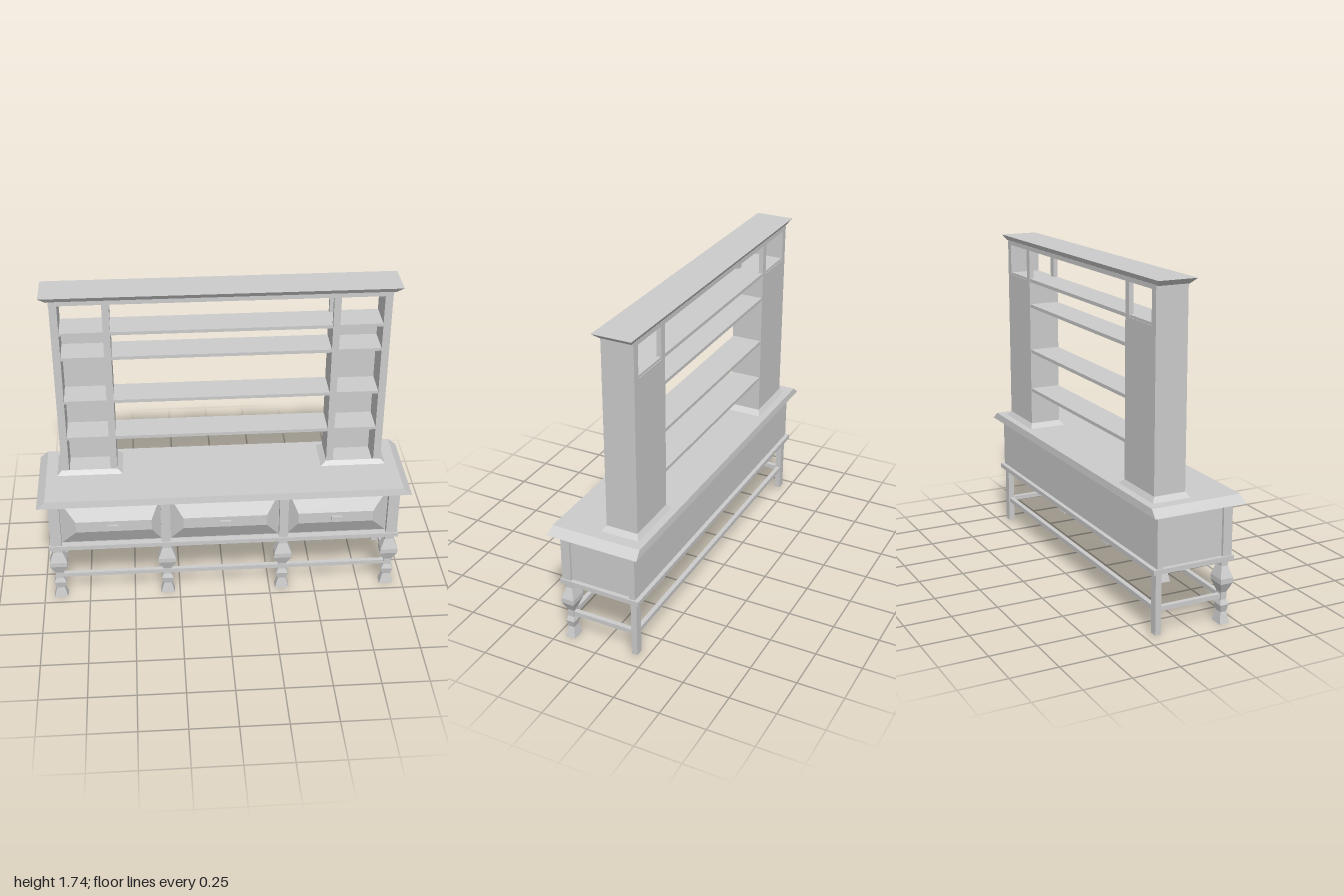
import * as THREE from 'three';

const material = new THREE.MeshStandardMaterial({ color: 0xcccccc, flatShading: true });
const openMaterial = new THREE.MeshStandardMaterial({ color: 0xcccccc, flatShading: true, side: THREE.DoubleSide });

export function createModel() {
  const model = new THREE.Group();

  function add(name, geometry, parent = model, mat = material) {
    const mesh = new THREE.Mesh(geometry, mat);
    mesh.name = name;
    parent.add(mesh);
    return mesh;
  }

  // Box given by its limits on each axis
  function box(name, x0, x1, y0, y1, z0, z1, parent) {
    const mesh = add(name, new THREE.BoxGeometry(x1 - x0, y1 - y0, z1 - z0), parent);
    mesh.position.set((x0 + x1) / 2, (y0 + y1) / 2, (z0 + z1) / 2);
    return mesh;
  }

  // Block of unit height whose bottom and top rectangles [x0, x1, z0, z1] differ
  function tapered(bottom, top, y0, y1) {
    const g = new THREE.BoxGeometry(1, 1, 1);
    const p = g.attributes.position;
    for (let i = 0; i < p.count; i++) {
      const up = p.getY(i) > 0;
      const r = up ? top : bottom;
      p.setXYZ(i, p.getX(i) < 0 ? r[0] : r[1], up ? y1 : y0, p.getZ(i) < 0 ? r[2] : r[3]);
    }
    g.computeVertexNormals();
    return g;
  }

  // Counter and cabinet body
  add('counterTop', tapered([-1, 1, -0.25, 0.25], [-0.955, 0.955, -0.245, 0.243], 0.637, 0.675));
  box('cabinetCore', -0.93, 0.93, 0.35, 0.64, -0.19, 0.18);
  box('cabinetBack', -0.945, 0.945, 0.36, 0.64, -0.207, -0.175);
  box('cabinetBase', -0.953, 0.953, 0.335, 0.36, -0.23, 0.218);
  for (const s of [-1, 1]) {
    const outer = [0.885 * s, 0.945 * s].sort((a, b) => a - b);
    box('cornerPost', ...outer, 0.36, 0.64, 0.16, 0.21);
    box('drawerDivider', 0.32 * s - 0.024, 0.32 * s + 0.024, 0.36, 0.64, 0.16, 0.21);
  }

  // Drawers: outer edges, raised field and handle centre along x
  const drawers = [
    [-0.885, -0.344, -0.8, -0.395],
    [-0.296, 0.296, -0.225, 0.225],
    [0.344, 0.885, 0.395, 0.8],
  ];
  drawers.forEach(([x0, x1, a, b], i) => {
    const drawer = new THREE.Group();
    drawer.name = 'drawer';
    // Built lying down, then turned to face forward
    const front = tapered([x0, x1, -0.64, -0.36], [a, b, -0.53, -0.465], 0.178, 0.234);
    front.rotateX(Math.PI / 2);
    front.scale(1, -1, 1);
    // Mirroring turns the faces over, so swap the corner order back
    const index = front.index.array;
    for (let k = 0; k < index.length; k += 3) [index[k], index[k + 1]] = [index[k + 1], index[k]];
    // Keep the field upright between the top and bottom edges
    const p = front.attributes.position;
    for (let k = 0; k < p.count; k++) p.setY(k, Math.abs(p.getY(k)));
    front.computeVertexNormals();
    add('drawerFront', front, drawer, openMaterial);
    const hx = (i - 1) * 0.602;
    box('drawerHandle', hx - 0.03, hx + 0.03, 0.485, 0.508, 0.225, 0.247, drawer);
    model.add(drawer);
  });

  // Square turned front legs, narrower from front to back
  const profile = [
    [0, 0], [0.038, 0], [0.022, 0.06], [0.033, 0.1], [0.022, 0.125],
    [0.022, 0.165], [0.048, 0.218], [0.048, 0.245], [0.025, 0.305], [0.025, 0.336], [0, 0.336],
  ].map(([r, y]) => new THREE.Vector2(r * Math.SQRT2, y));
  for (const x of [-0.91, -0.317, 0.32, 0.91]) {
    const leg = add('frontLeg', new THREE.LatheGeometry(profile, 4, Math.PI / 4));
    leg.scale.z = 0.72;
    leg.position.set(x, 0, 0.178);
  }

  // Back legs and stretchers
  for (const s of [-1, 1]) {
    box('backLeg', 0.91 * s - 0.022, 0.91 * s + 0.022, 0.013, 0.336, -0.207, -0.175);
    box('sideStretcher', 0.91 * s - 0.013, 0.91 * s + 0.013, 0.13, 0.154, -0.18, 0.178);
  }
  box('frontStretcher', -0.91, 0.91, 0.13, 0.154, 0.166, 0.19);
  box('backStretcher', -0.91, 0.91, 0.13, 0.154, -0.203, -0.179);

  // Two shelf towers
  const zBack = -0.187, zFront = -0.016;
  const shelfTops = [0.906, 1.131, 1.39, 1.533];
  for (const s of [-1, 1]) {
    const tower = new THREE.Group();
    tower.name = 'tower';
    model.add(tower);
    const part = (name, a, b, ...rest) => box(name, Math.min(a * s, b * s), Math.max(a * s, b * s), ...rest, tower);
    part('outerSide', 0.83, 0.87, 0.675, 1.69, zBack, zFront);
    part('innerSide', 0.57, 0.607, 0.675, 1.533, zBack, zFront);
    part('upperFrontPost', 0.57, 0.607, 1.533, 1.69, zFront - 0.025, zFront);
    part('upperBackPost', 0.57, 0.607, 1.533, 1.69, zBack, zBack + 0.025);
    part('towerBack', 0.607, 0.83, 0.675, 1.52, zBack, zBack + 0.012);
    for (const y of shelfTops) part('towerShelf', 0.607, 0.83, y - 0.016, y, zBack + 0.003, zFront - 0.003);

    // Sloping skirt, open inside
    const ring = (x0, x1, z0, z1, y) => [[x0, y, z0], [x1, y, z0], [x1, y, z1], [x0, y, z1]];
    const low = ring(0.54 * s, 0.895 * s, -0.205, 0, 0.675);
    const high = ring(0.57 * s, 0.87 * s, zBack, zFront, 0.7);
    const corners = [];
    for (let i = 0; i < 4; i++) {
      const j = (i + 1) % 4;
      corners.push(...low[i], ...high[j], ...low[j], ...low[i], ...high[i], ...high[j]);
    }
    const skirt = new THREE.BufferGeometry();
    skirt.setAttribute('position', new THREE.Float32BufferAttribute(corners, 3));
    skirt.computeVertexNormals();
    add('towerSkirt', skirt, tower, openMaterial);
  }

  // Long shelves between the towers
  for (const y of shelfTops) box('longShelf', -0.572, 0.572, y - 0.018, y, zBack + 0.003, zFront - 0.003);

  // Top board and flared crown
  box('topBoard', -0.872, 0.872, 1.69, 1.713, zBack, zFront);
  add('crown', tapered([-0.885, 0.885, -0.185, -0.018], [-0.92, 0.92, -0.203, 0.004], 1.711, 1.74));

  return model;
}
